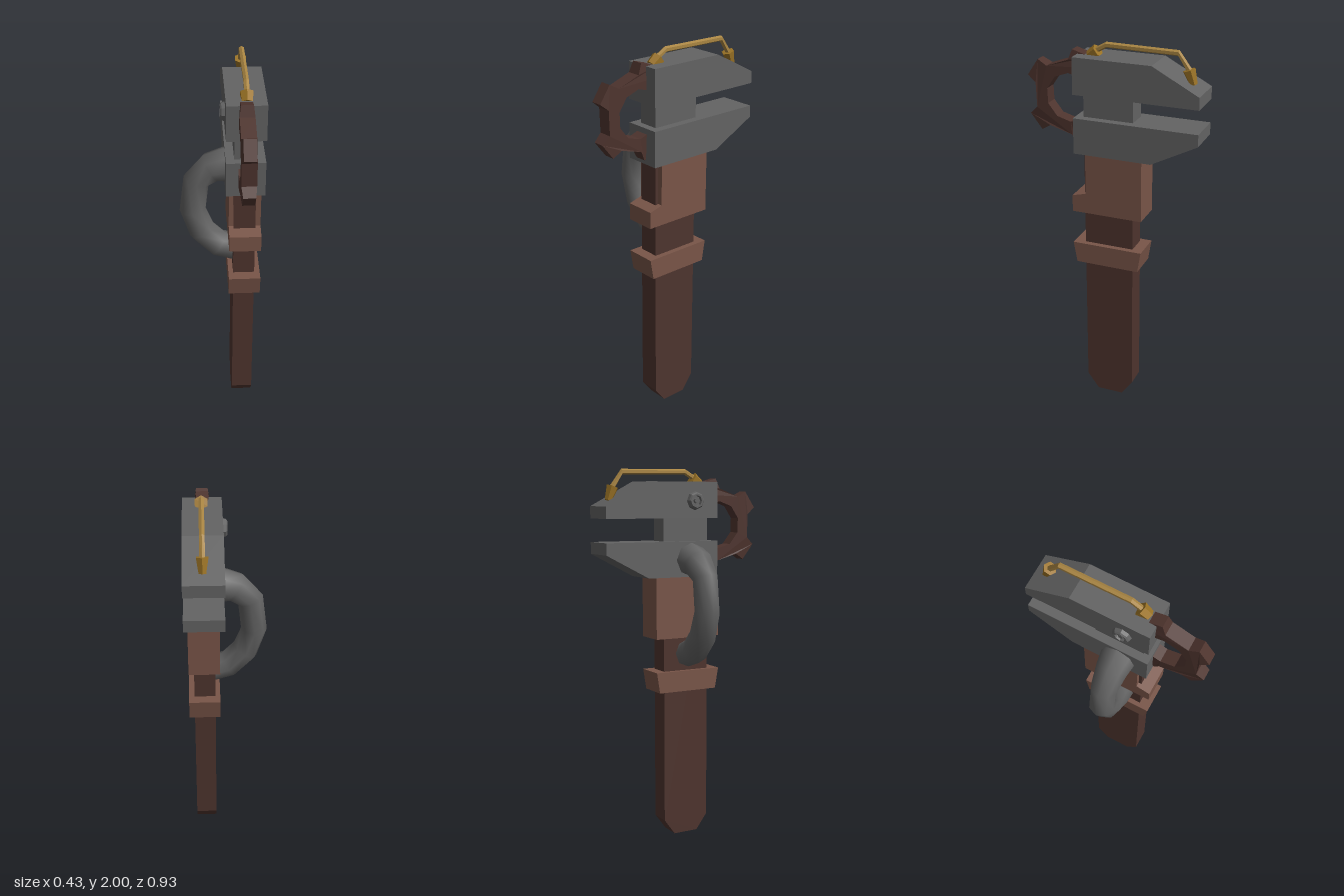
import * as THREE from 'three';

const mat = (name, color) => {
  const m = new THREE.MeshStandardMaterial({ color });
  m.name = name;
  return m;
};
const CX = 0.1135; // centre plane of the tool

export function createModel() {
  const steel = mat('steel grey', 0x636363);
  const darkWood = mat('dark brown', 0x4e342e);
  const leather = mat('light brown', 0x795548);
  const brass = mat('brass', 0x9c7426);
  const paleBrass = mat('pale brass', 0xa98542);

  const model = new THREE.Group();
  model.name = 'wrench';
  const add = (name, geometry, material, x = 0, y = 0, z = 0) => {
    const mesh = new THREE.Mesh(geometry, material);
    mesh.name = name;
    mesh.position.set(x, y, z);
    model.add(mesh);
    return mesh;
  };
  const flat = (g) => {
    const out = g.index ? g.toNonIndexed() : g;
    out.computeVertexNormals();
    return out;
  };
  // side profile of [z, y] points, extruded across x and centred on it
  const slab = (shape, width) => {
    const g = new THREE.ExtrudeGeometry(shape, { depth: width, bevelEnabled: false });
    return g.translate(0, 0, -width / 2).rotateY(-Math.PI / 2);
  };
  const outline = (pts) => new THREE.Shape(pts.map(([z, y]) => new THREE.Vector2(z, y)));

  // tube with varying radius along a planar path of [u, v, radius]
  const loft = (path, sides) => {
    const pos = [], idx = [];
    path.forEach(([u, v, r], i) => {
      const p = path[Math.max(i - 1, 0)], q = path[Math.min(i + 1, path.length - 1)];
      const t = new THREE.Vector2(q[0] - p[0], q[1] - p[1]).normalize();
      for (let j = 0; j < sides; j++) {
        const a = (j / sides) * Math.PI * 2, c = Math.cos(a) * r;
        pos.push(u - t.y * c, v + t.x * c, Math.sin(a) * r);
        if (i === path.length - 1) continue;
        const k = i * sides, n = (j + 1) % sides;
        idx.push(k + j, k + n, k + sides + j, k + n, k + sides + n, k + sides + j);
      }
    });
    const g = new THREE.BufferGeometry();
    g.setAttribute('position', new THREE.Float32BufferAttribute(pos, 3));
    g.setIndex(idx);
    g.computeVertexNormals();
    return g;
  };

  // handle with chamfered foot
  add('handle', slab(outline([[0.08, 0], [0.143, 0.085], [0.143, 1.45], [-0.122, 1.45],
    [-0.122, 0.085], [-0.06, 0]]), 0.112), darkWood, CX);
  add('gripBand', slab(outline([[0.182, 0.81], [0.202, 0.922], [-0.178, 0.922], [-0.16, 0.81]]),
    0.166), leather, CX + 0.002);
  add('gripCollar', slab(outline([[0.202, 1.103], [0.202, 1.192], [0.127, 1.212], [0.127, 1.432],
    [-0.178, 1.432], [-0.178, 1.103]]), 0.164), leather, CX + 0.002);

  // jaws and the neck between them
  const jaw = (name, yBack, yOpen, yTip) => add(name, slab(outline([[0.183, yBack], [-0.23, yBack],
    [-0.472, yTip], [-0.472, yOpen], [0.183, yOpen]]), 0.197), steel, CX);
  jaw('lowerJaw', 1.432, 1.62, 1.558);
  jaw('upperJaw', 1.932, 1.742, 1.805);
  add('neck', new THREE.BoxGeometry(0.112, 0.16, 0.265), steel, CX, 1.68, 0.0105);

  // five-toothed gear, teeth thinning towards their tips
  const gearPts = [];
  const polar = (r, deg) => [r * Math.cos(deg * Math.PI / 180), r * Math.sin(deg * Math.PI / 180)];
  for (let i = 0; i < 5; i++) {
    const a = 34 + i * 72;
    gearPts.push(polar(0.195, a - 17), polar(0.249, a - 12), polar(0.249, a + 12), polar(0.195, a + 17));
  }
  const gearShape = outline(gearPts);
  const hole = [];
  for (let i = 0; i < 10; i++) hole.push(new THREE.Vector2(...polar(0.127, 16 + i * 36)));
  gearShape.holes.push(new THREE.Path(hole));
  const gear = slab(gearShape, 0.074);
  const gp = gear.attributes.position;
  for (let i = 0; i < gp.count; i++) {
    if (Math.hypot(gp.getY(i), gp.getZ(i)) > 0.22) gp.setX(i, gp.getX(i) * 0.82);
  }
  add('gear', flat(gear), darkWood, CX - 0.001, 1.703, 0.228);

  // bent side pipe from lower jaw to handle
  add('sidePipe', loft([[0.08, 1.528, 0.092], [0.016, 1.522, 0.09], [-0.053, 1.506, 0.08],
    [-0.128, 1.435, 0.068], [-0.149, 1.257, 0.068], [-0.103, 1.125, 0.072],
    [-0.016, 1.035, 0.073], [0.07, 1.013, 0.075]], 8), steel, 0, 0, 0.024);

  // recessed bolt on the upper jaw
  const bolt = new THREE.LatheGeometry([[0.05, 0], [0.045, 0.018], [0.038, 0.025], [0.028, 0.025],
    [0.026, 0.008], [0.014, 0.008], [0.012, 0.02], [0, 0.02]].map(([r, h]) => new THREE.Vector2(r, h)), 8);
  add('bolt', flat(bolt.rotateZ(Math.PI / 2)), steel, 0.016, 1.833, 0.045);

  // thin brass line over the upper jaw with hexagonal fittings
  const brassPart = (name, path, material) =>
    add(name, flat(loft(path, 6).rotateY(-Math.PI / 2)), material, CX + 0.004);
  brassPart('brassLine', [[0.12, 1.937, 0.015], [0.037, 1.985, 0.015], [-0.334, 1.981, 0.015],
    [-0.387, 1.905, 0.015], [-0.408, 1.84, 0.015]], paleBrass);
  brassPart('frontFitting', [[0.127, 1.918, 0], [0.125, 1.919, 0.03], [0.082, 1.951, 0.036],
    [0.08, 1.952, 0]], brass);
  brassPart('rearFitting', [[-0.386, 1.907, 0], [-0.387, 1.905, 0.033], [-0.412, 1.835, 0.02],
    [-0.413, 1.832, 0]], brass);

  return model;
}
